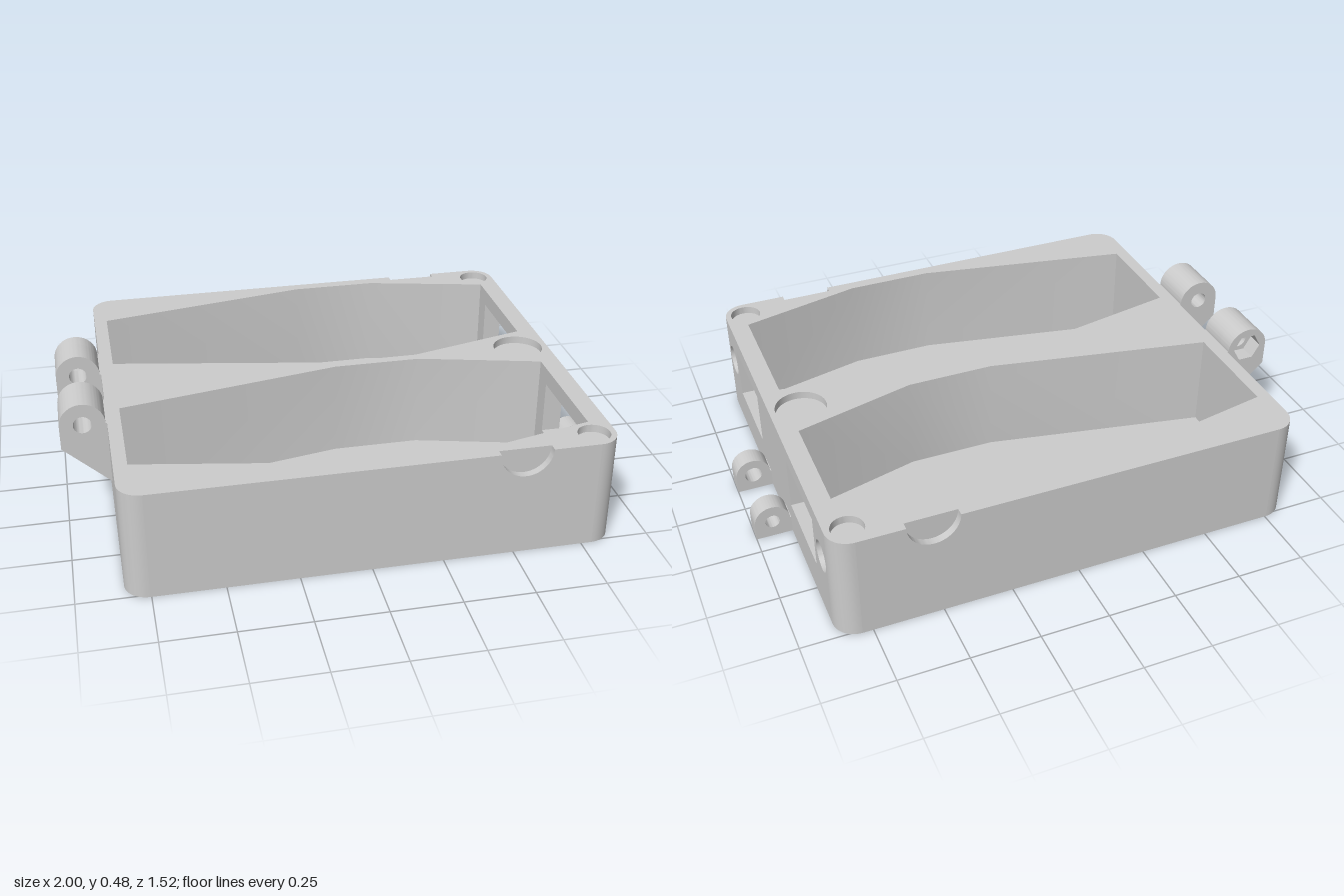
import * as THREE from 'three';
import { toCreasedNormals } from 'three/addons/utils/BufferGeometryUtils.js';

const H = 0.398, FLOOR = 0.04, L = -0.835, R = 0.868, Z = 0.762, CORNER = 0.08;
const INNER = 0.798, RECESS = 0.028;
const NOTCH_X = 0.526, NOTCH_R = 0.093;

// window in the right wall: near and far z, low and high y
const WZ0 = 0.205, WZ1 = 0.533, WY0 = 0.138, WY1 = 0.336;

// pocket outline in (x, -z), counterclockwise, open on its right end
const POCKET = [[INNER, -0.135], [0.35, -0.018], [0.03, -0.018], [-0.787, -0.177],
  [-0.787, -0.565], [0.02, -0.718], [0.34, -0.718], [INNER, -0.607]];

const plastic = new THREE.MeshStandardMaterial({ color: 0xcccccc, side: THREE.DoubleSide });
plastic.name = 'grey plastic';

function add(parent, name, geometry) {
  const mesh = new THREE.Mesh(geometry, plastic);
  mesh.name = name;
  parent.add(mesh);
}

function arc(cx, cy, r, from, to, n = 40) {
  return Array.from({ length: n + 1 }, (_, i) => {
    const a = from + (to - from) * i / n;
    return [cx + r * Math.cos(a), cy + r * Math.sin(a)];
  });
}
const circle = (cx, cy, r, n) => arc(cx, cy, r, 0, Math.PI * 2, n);
const rect = (x0, y0, x1, y1) => [[x0, y0], [x1, y0], [x1, y1], [x0, y1], [x0, y0]];

function shapeOf(points, holes = []) {
  const vectors = (list) => list.map(([x, y]) => new THREE.Vector2(x, y));
  const shape = new THREE.Shape(vectors(points));
  shape.holes = holes.map((h) => new THREE.Path(vectors(h)));
  return shape;
}
const sheet = (points, holes) => new THREE.ShapeGeometry(shapeOf(points, holes));

// wall following a counterclockwise path, facing inward, running back to z = -depth
function sleeve(points, depth) {
  const pos = [];
  for (let i = 0; i < points.length - 1; i++) {
    const [ax, ay] = points[i], [bx, by] = points[i + 1];
    pos.push(ax, ay, 0, bx, by, 0, bx, by, -depth, ax, ay, 0, bx, by, -depth, ax, ay, -depth);
  }
  const g = new THREE.BufferGeometry();
  g.setAttribute('position', new THREE.Float32BufferAttribute(pos, 3));
  return toCreasedNormals(g, 0.5);
}

// placing of flat work on the top (x, -z), the right (-z, y) and the left (z, y)
const onTop = (g, y) => g.rotateX(-Math.PI / 2).translate(0, y, 0);
const onRight = (g, x) => g.rotateY(Math.PI / 2).translate(x, 0, 0);
const onLeft = (g, x) => g.rotateY(-Math.PI / 2).translate(x, 0, 0);

// box outline with rounded corners, optionally with the thumb notches cut out
function outline(notched) {
  const corner = (x, y, k) => arc(x, y, CORNER, k * Math.PI / 2, (k + 1) * Math.PI / 2, 12);
  const a = NOTCH_X - NOTCH_R, b = NOTCH_X + NOTCH_R, i = Z - RECESS;
  const x0 = L + CORNER, x1 = R - CORNER, z1 = Z - CORNER;
  return [
    ...corner(x0, -z1, 2),
    ...(notched ? [[a, -Z], [a, -i], [b, -i], [b, -Z]] : []),
    ...corner(x1, -z1, 3), ...corner(x1, z1, 0),
    ...(notched ? [[b, Z], [b, i], [a, i], [a, Z]] : []),
    ...corner(x0, z1, 1),
  ];
}

// round blind hole: inner wall and bottom
function blindHole(parent, name, place, at, x, y, r) {
  add(parent, name + 'Wall', place(sleeve(circle(x, y, r), RECESS), at));
  add(parent, name + 'Bottom', place(sheet(circle(x, y, r)), at - RECESS));
}

// everything that is mirrored from front to back
function createHalf(name) {
  const half = new THREE.Group();
  half.name = name;

  // long wall with thumb notch
  const notch = arc(NOTCH_X, H, NOTCH_R, Math.PI, Math.PI * 2);
  add(half, 'longWall', sheet([[L + CORNER, 0], [R - CORNER, 0], [R - CORNER, H],
    ...notch.slice().reverse(), [L + CORNER, H]]).translate(0, 0, Z));
  add(half, 'notchWall', sleeve(notch, RECESS).translate(0, 0, Z));
  add(half, 'notchBack', sheet(notch).translate(0, 0, Z - RECESS));

  // rounded vertical corners
  for (const [x, k] of [[L + CORNER, 2], [R - CORNER, 3]]) {
    const path = arc(x, CORNER - Z, CORNER, (k + 1) * Math.PI / 2, k * Math.PI / 2, 12);
    add(half, 'roundedCorner', onTop(sleeve(path, H), H));
  }

  // pocket with a window through its right end
  add(half, 'pocketWalls', onTop(sleeve(POCKET, H - FLOOR), H));
  add(half, 'pocketFloor', onTop(sheet(POCKET), FLOOR));
  add(half, 'pocketEnd', onLeft(sheet(rect(0.135, FLOOR, 0.607, H),
    [rect(WZ0, WY0, WZ1, WY1)]), INNER));
  add(half, 'windowFrame', onRight(sleeve(rect(-WZ1, WY0, -WZ0, WY1), R - INNER), R));

  // blind holes in the corner and in the right wall
  blindHole(half, 'cornerHole', onTop, H, 0.79, -0.685, 0.057);
  blindHole(half, 'sideHole', onRight, R, -0.615, 0.244, 0.057);
  return half;
}

function lug(profile, hole, z0, z1) {
  const g = new THREE.ExtrudeGeometry(shapeOf(profile, [hole]), { depth: z1 - z0, bevelEnabled: false });
  return toCreasedNormals(g, 0.5).translate(0, 0, z0);
}

export function createModel() {
  const model = new THREE.Group();
  model.name = 'twinPocketTray';

  // mirrored halves
  const front = createHalf('frontHalf');
  const back = createHalf('backHalf');
  back.scale.z = -1;
  model.add(front, back);

  // full-width faces
  const mirror = (points) => points.map(([x, y]) => [x, -y]);
  add(model, 'topFace', onTop(sheet(outline(true), [POCKET, mirror(POCKET),
    circle(0.79, 0.685, 0.057), circle(0.79, -0.685, 0.057), circle(0.753, 0, 0.093)]), H));
  add(model, 'bottomFace', sheet(outline(false)).rotateX(Math.PI / 2));
  const end = rect(CORNER - Z, 0, Z - CORNER, H);
  add(model, 'leftWall', onLeft(sheet(end), L));
  add(model, 'rightWall', onRight(sheet(end, [
    rect(-WZ1, WY0, -WZ0, WY1), rect(WZ0, WY0, WZ1, WY1),
    circle(-0.615, 0.244, 0.057), circle(0.615, 0.244, 0.057)]), R));
  blindHole(model, 'centreHole', onTop, H, 0.753, 0, 0.093);

  // hinge lugs on the left, the back one with a hexagonal nut seat
  const hinge = [[L, 0.16], [L, H], ...arc(-0.92, H, 0.08, 0, Math.PI), [-1, 0.31]];
  const pin = circle(-0.92, H, 0.032);
  add(model, 'hingeLugFront', lug(hinge, pin, 0.1, 0.272));
  add(model, 'hingeLugBack', lug(hinge, pin, -0.21, -0.1));
  add(model, 'hingeLugNutSeat', lug(hinge, circle(-0.92, H, 0.056, 6), -0.272, -0.21));

  // small latch lugs on the right, the back one with a narrower hole
  const latch = [[R, 0], [1, 0], ...arc(0.936, 0.064, 0.064, 0, Math.PI), [R, 0.064]];
  add(model, 'latchLugFront', lug(latch, circle(0.936, 0.064, 0.031), 0.105, 0.18));
  add(model, 'latchLugBack', lug(latch, circle(0.936, 0.064, 0.026), -0.18, -0.105));
  return model;
}
